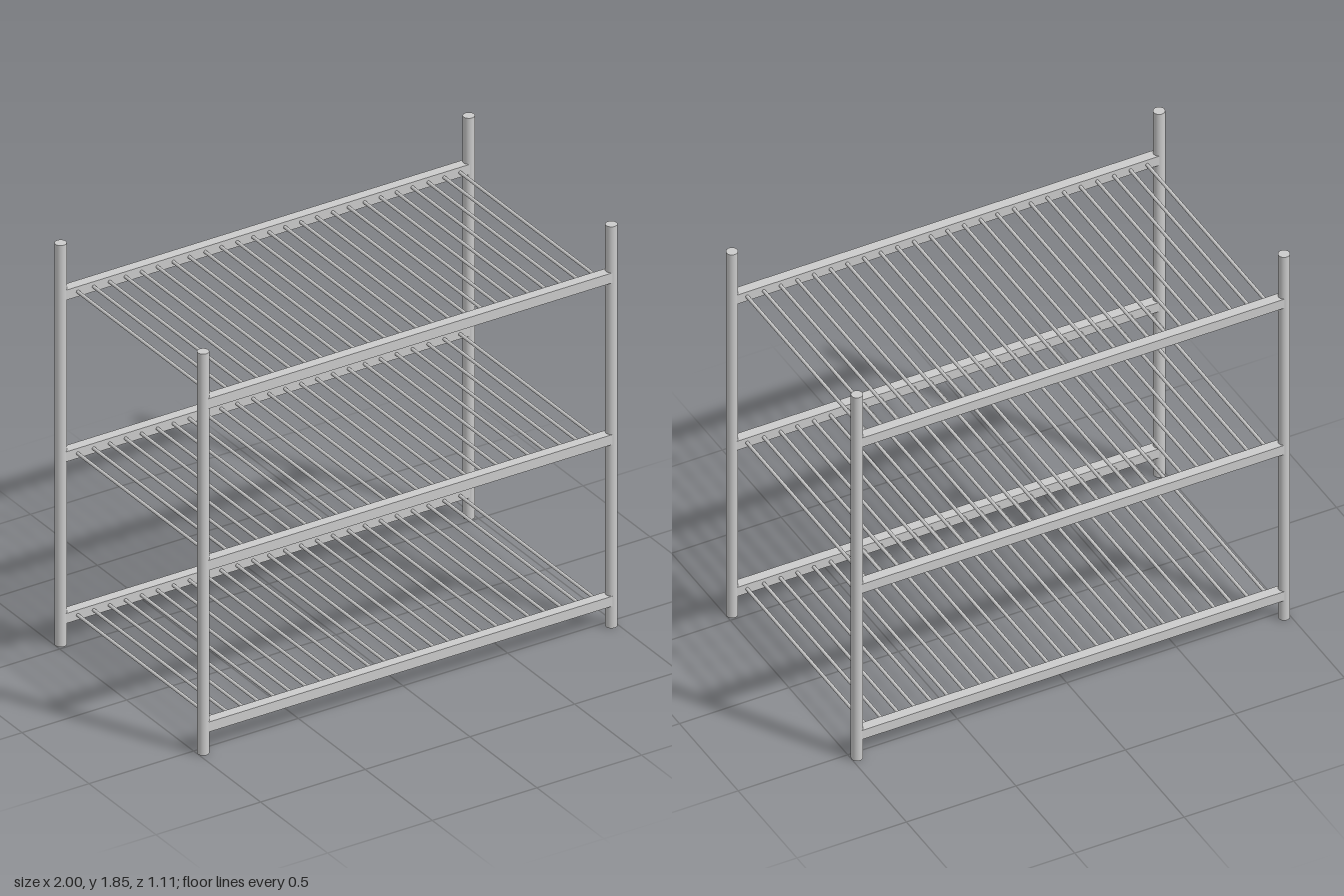
import * as THREE from 'three';

const HEIGHT = 1.85, POST_R = 0.025, POST_X = 0.975, POST_Z = 0.532;
const RAIL = 0.046, BAR_R = 0.0075, BAR_COUNT = 25;
const SHELF_Y = [0.125, 0.87, 1.615];

export function createModel() {
  const rack = new THREE.Group();
  rack.name = 'shelfRack';
  const material = new THREE.MeshStandardMaterial({ color: 0xcccccc });

  const add = (parent, name, geometry, x, y, z) => {
    const mesh = new THREE.Mesh(geometry, material);
    mesh.name = name;
    mesh.position.set(x, y, z);
    parent.add(mesh);
  };

  // Four round corner posts
  const postGeometry = new THREE.CylinderGeometry(POST_R, POST_R, HEIGHT, 24);
  for (const [side, sx] of [['Left', 1], ['Right', -1]]) {
    for (const [end, sz] of [['front', 1], ['back', -1]]) {
      add(rack, `${end}${side}Post`, postGeometry, sx * POST_X, HEIGHT / 2, sz * POST_Z);
    }
  }

  // Three shelves: square rails front and back, thin round bars between them
  const railGeometry = new THREE.BoxGeometry(2 * (POST_X - 0.01), RAIL, RAIL);
  const barGeometry = new THREE.CylinderGeometry(BAR_R, BAR_R, 2 * POST_Z - RAIL + 0.01, 12);
  barGeometry.rotateX(Math.PI / 2);
  SHELF_Y.forEach((y, level) => {
    const shelf = new THREE.Group();
    shelf.name = `shelf${level + 1}`;
    shelf.position.y = y;
    add(shelf, 'frontRail', railGeometry, 0, 0, POST_Z);
    add(shelf, 'backRail', railGeometry, 0, 0, -POST_Z);
    for (let i = 0; i < BAR_COUNT; i++) {
      add(shelf, `shelfBar${i + 1}`, barGeometry, -0.908 + i * 0.0761, 0, 0);
    }
    rack.add(shelf);
  });

  return rack;
}
